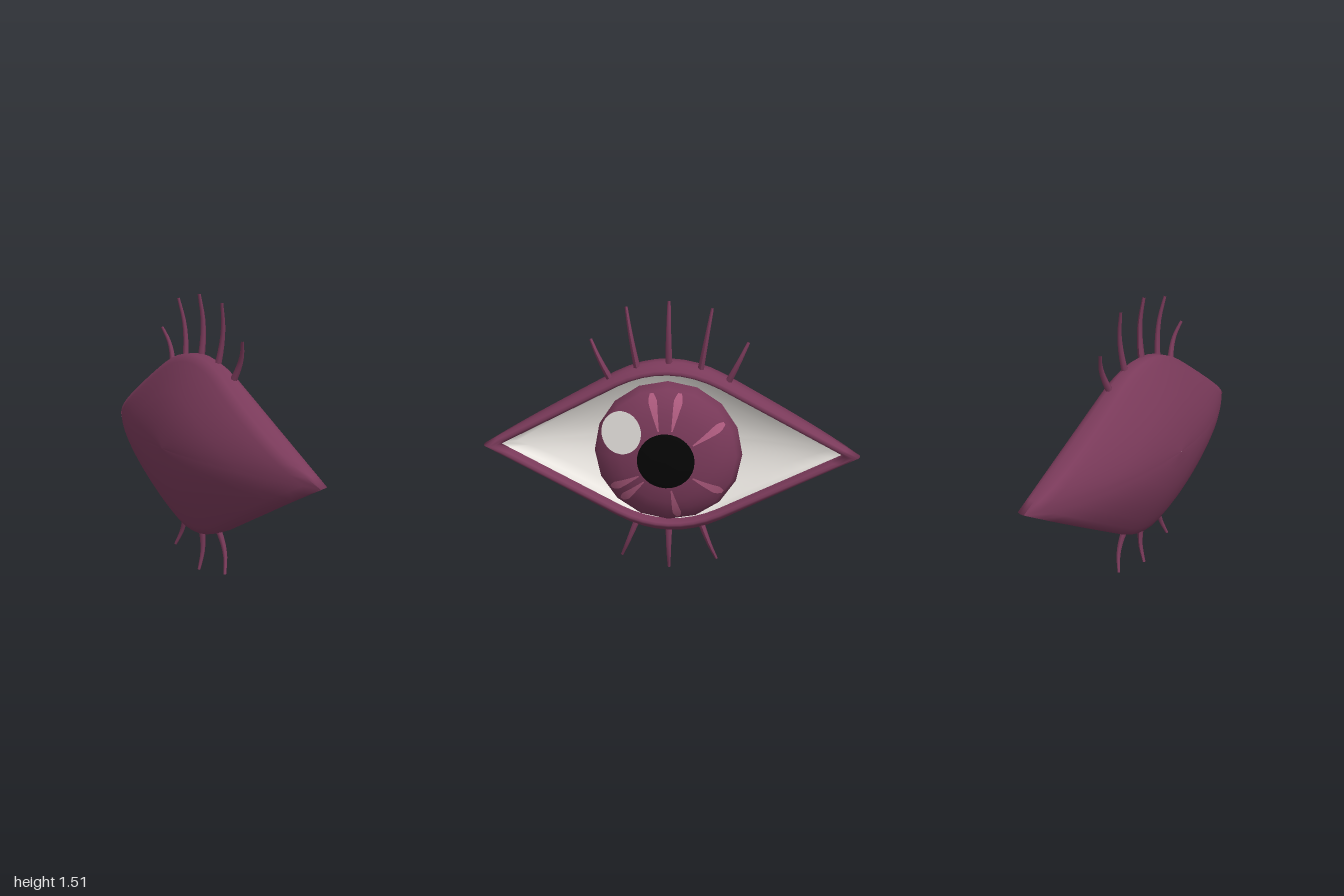
import * as THREE from 'three';

const mat = (color, side = THREE.FrontSide) => new THREE.MeshStandardMaterial({ color, side, roughness: 0.8 });
const SKIN = mat(0x7a3a5a), WHITE = mat(0xe8e4df, THREE.DoubleSide), BLACK = mat(0x050505);
const STREAK = mat(0xb05c80, THREE.DoubleSide), SHINE = mat(0xe4e0dc, THREE.DoubleSide);

// Almond outline: straight sides with a rounded crown, counter-clockwise
const lidHeight = u => (Math.abs(u) > 0.3 ? 0.565 * (1 - Math.abs(u)) : 0.48 - 0.938 * u * u);
const HALF = 28;
const outline = [];
for (let i = 0; i < HALF; i++) {
  const u = 1 - (2 * i) / HALF;
  outline.push([u, lidHeight(u)]);
}
for (let i = 0; i < HALF; i++) {
  const u = -1 + (2 * i) / HALF;
  outline.push([u, -lidHeight(u)]);
}

// Skin over rings of [scaleX, scaleY, depth(x, y)] following the outline
function loft(rings) {
  const n = outline.length, pos = [], idx = [];
  for (const [sx, sy, depth] of rings)
    for (const [u, v] of outline) pos.push(u * sx, v * sy, depth(u * sx, v * sy));
  for (let r = 0; r < rings.length - 1; r++)
    for (let i = 0; i < n; i++) {
      const j = (i + 1) % n, a = r * n + i, b = r * n + j;
      idx.push(a, b, b + n, a, b + n, a + n);
    }
  const g = new THREE.BufferGeometry();
  g.setAttribute('position', new THREE.Float32BufferAttribute(pos, 3));
  g.setIndex(idx);
  g.computeVertexNormals();
  return g;
}

// Bulging back of the eye, and the dome of the iris at a given radius
const shell = (x, y) => -0.22 + 0.246 * x * x + 0.78 * y * y + 2.3 * x * x * y * y;
const dome = r => 0.04 + 0.17 * Math.sqrt(Math.max(0, 1 - (r / 0.395) ** 2));

function lathe(points, segments) {
  const g = new THREE.LatheGeometry(points.map(p => new THREE.Vector2(...p)), segments);
  return g.rotateX(Math.PI / 2);
}

// Tapered, curved lash from base to tip
function lashGeometry(x0, y0, x1, y1) {
  const at = (t, z) => new THREE.Vector3(x0 + (x1 - x0) * t, y0 + (y1 - y0) * t, z);
  const curve = new THREE.CatmullRomCurve3([at(-0.08, 0.018), at(0.3, 0.03), at(0.62, 0.028), at(1, 0.006)]);
  const rows = 8, sides = 6;
  const g = new THREE.TubeGeometry(curve, rows, 0.019, sides);
  const p = g.attributes.position, v = new THREE.Vector3();
  for (let i = 0; i < p.count; i++) {
    const t = Math.floor(i / (sides + 1)) / rows, c = curve.getPointAt(t);
    v.fromBufferAttribute(p, i).sub(c).multiplyScalar(1 - 0.57 * t).add(c);
    p.setXYZ(i, v.x, v.y, v.z);
  }
  g.computeVertexNormals();
  return g;
}

// Thin petal lying on the dome, widest near its blunt outer end
function streakGeometry(angle) {
  const g = new THREE.PlaneGeometry(1, 1, 2, 10);
  const p = g.attributes.position;
  for (let i = 0; i < p.count; i++) {
    const t = p.getY(i) + 0.5, r = 0.165 + 0.185 * t;
    const w = 0.045 * Math.min(0.15 + 1.1 * t, 0.4 + (1 - t) * 4, 1) * p.getX(i);
    p.setXYZ(i, r * Math.cos(angle) - w * Math.sin(angle), r * Math.sin(angle) + w * Math.cos(angle), dome(r) + 0.004);
  }
  g.computeVertexNormals();
  return g;
}

export function createModel() {
  const model = new THREE.Group();
  const eye = new THREE.Group();
  eye.name = 'eye';
  eye.position.y = 0.72;
  eye.rotation.y = Math.PI / 2; // gaze along +x
  model.add(eye);
  const add = (name, geometry, material, parent = eye) => {
    const m = new THREE.Mesh(geometry, material);
    m.name = name;
    parent.add(m);
    return m;
  };

  // Back shell running out into the bevelled lid rim
  const rings = [0.001, 0.2, 0.4, 0.6, 0.8, 0.92, 1].map(s => [s, s, shell]);
  const rim = [[1, 1, 0.022], [0.998, 0.965, 0.048], [0.988, 0.92, 0.069], [0.96, 0.892, 0.076],
    [0.93, 0.872, 0.067], [0.917, 0.86, 0.045], [0.915, 0.857, 0.015]];
  for (const [sx, sy, z] of rim) rings.push([sx, sy, () => z]);
  add('eyelids', loft(rings), SKIN);

  // Hollow white lining the shell behind the iris
  const bowl = [[0.925, 0.87, () => 0.025]];
  for (const s of [1, 0.9, 0.75, 0.55, 0.3, 0.001]) bowl.push([0.925 * s, 0.87 * s, (x, y) => shell(x, y) + 0.02]);
  add('eyeWhite', loft(bowl), WHITE);

  // Domed iris with a closed back
  const profile = [[0, -0.09], [0.22, -0.05], [0.35, 0.02]];
  for (const r of [0.39, 0.36, 0.3, 0.24, 0.15, 0]) profile.push([r, dome(r)]);
  add('iris', lathe(profile, 16), SKIN);
  add('pupil', lathe([[0.148, 0.185], [0.148, 0.202], [0.08, 0.213], [0, 0.217]], 32), BLACK);

  const streaks = new THREE.Group();
  streaks.name = 'irisStreaks';
  eye.add(streaks);
  for (const deg of [103, 79, 33, -33, -80, -134, -148])
    add('irisStreak', streakGeometry(THREE.MathUtils.degToRad(deg)), STREAK, streaks);

  // Round highlight, nearly tangent to the dome
  const hx = -0.232, hy = 0.138, hr = Math.hypot(hx, hy);
  const slope = 0.9 * (dome(hr - 0.02) - dome(hr + 0.02)) / 0.04;
  const normal = new THREE.Vector3((hx / hr) * slope, (hy / hr) * slope, 1).normalize();
  const shine = add('highlight', new THREE.CircleGeometry(0.112, 32), SHINE);
  shine.position.set(hx, hy, dome(hr) + 0.004);
  shine.quaternion.setFromUnitVectors(new THREE.Vector3(0, 0, 1), normal);

  // Lashes: base x, y and tip x, y; those off centre are mirrored
  const lashes = { upperLash: [[0, 0.47, 0, 0.787], [0.165, 0.45, 0.217, 0.755], [0.31, 0.388, 0.403, 0.585]],
    lowerLash: [[0, -0.47, 0, -0.718], [0.183, -0.445, 0.265, -0.653]] };
  for (const [name, list] of Object.entries(lashes))
    for (const [x0, y0, x1, y1] of list)
      for (const s of x0 ? [1, -1] : [1]) add(name, lashGeometry(s * x0, y0, s * x1, y1), SKIN);

  return model;
}
